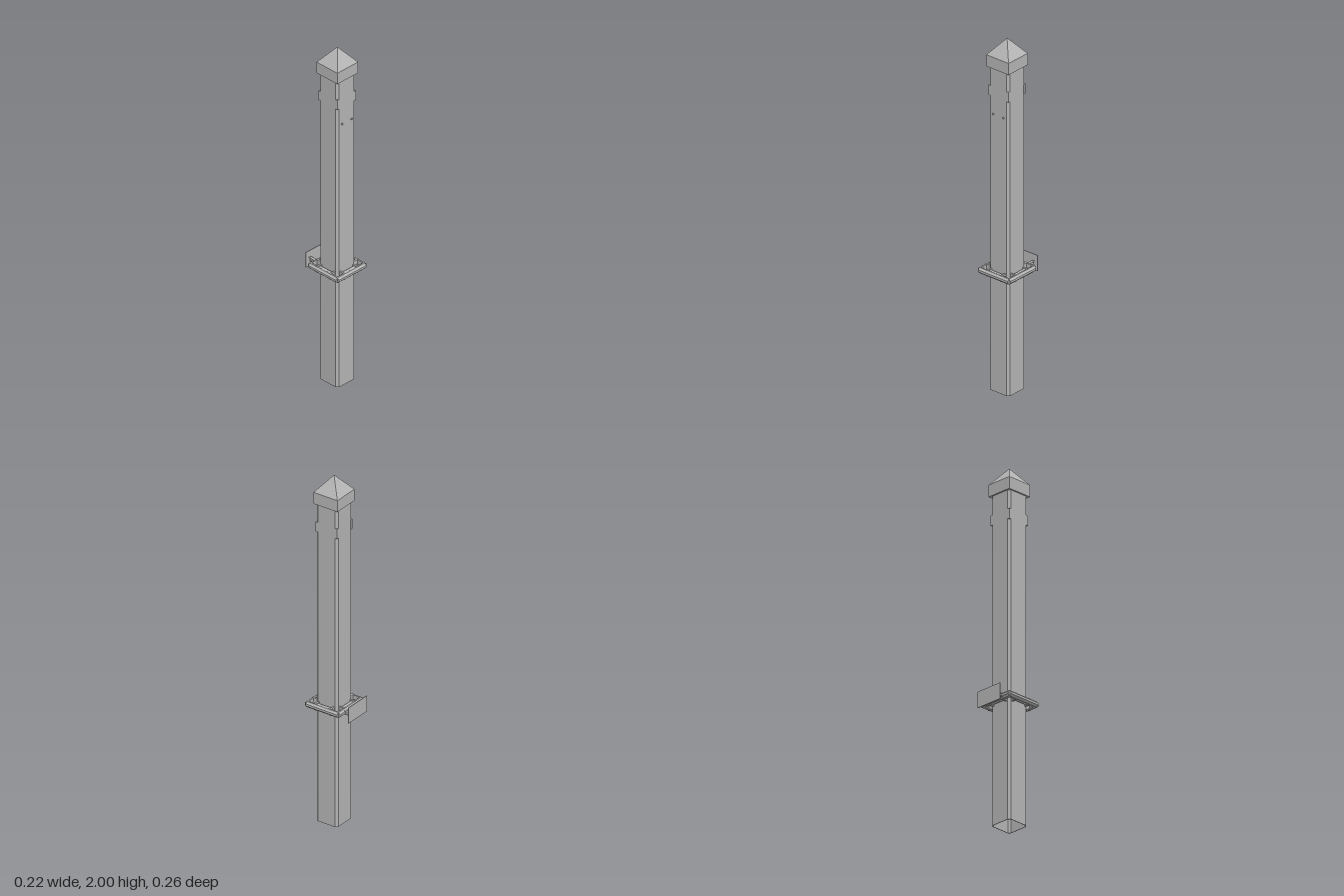
import * as THREE from 'three';

export function createModel() {
  const root = new THREE.Group();
  const pile = new THREE.Group(); // everything is centred on the pile axis
  pile.name = 'guidePile';
  pile.position.z = 0.018;
  root.add(pile);

  const grey = new THREE.MeshStandardMaterial({ color: 0xb4b4b4, flatShading: true });
  const smoothGrey = grey.clone();
  smoothGrey.flatShading = false;
  grey.name = smoothGrey.name = 'grey';

  const add = (parent, name, geo, x = 0, y = 0, z = 0, mat = grey) => {
    const m = new THREE.Mesh(geo, mat);
    m.name = name;
    m.position.set(x, y, z);
    parent.add(m);
    return m;
  };
  const box = (parent, name, w, h, d, x, y, z) =>
    add(parent, name, new THREE.BoxGeometry(w, h, d), x, y, z);

  // Square outline with cut corners
  const outline = (r, c) => [
    [r, c - r], [r, r - c], [r - c, r], [c - r, r],
    [-r, r - c], [-r, c - r], [c - r, -r], [r - c, -r],
  ].map(([x, y]) => new THREE.Vector2(x, y));
  const square = r => [[r, -r], [r, r], [-r, r], [-r, -r]].map(([x, y]) => new THREE.Vector2(x, y));

  // Hollow prism standing upright, base at y = 0
  const hollow = (outer, inner, height) => {
    const shape = new THREE.Shape(outer);
    shape.holes.push(new THREE.Path(inner));
    return new THREE.ExtrudeGeometry(shape, { depth: height, bevelEnabled: false }).rotateX(-Math.PI / 2);
  };

  // Post with chamfered corners, open at the bottom
  add(pile, 'post', hollow(outline(0.066, 0.012), outline(0.063, 0.011), 1.85));

  // Cap and its pyramid top
  box(pile, 'capBase', 0.149, 0.066, 0.149, 0, 1.875, 0);
  add(pile, 'capPyramid',
    new THREE.ConeGeometry(0.0745 * Math.SQRT2, 0.092, 4).rotateY(Math.PI / 4), 0, 1.954, 0);

  // Corner blocks below the cap
  for (const sx of [-1, 1]) for (const sz of [-1, 1])
    box(pile, 'cornerBlock', 0.014, 0.056, 0.014, sx * 0.06, 1.708, sz * 0.06);

  // Two small pegs on the front
  for (const sx of [-1, 1])
    add(pile, 'frontPeg', new THREE.CylinderGeometry(0.005, 0.005, 0.012, 10).rotateX(Math.PI / 2),
      sx * 0.034, 1.58, 0.066, smoothGrey);

  // Sliding collar: frame with an inner ledge
  const collar = new THREE.Group();
  collar.name = 'slidingCollar';
  collar.position.y = 0.68;
  pile.add(collar);
  add(collar, 'frame', hollow(square(0.1), square(0.092), 0.032), 0, -0.016, 0);
  add(collar, 'innerLedge', hollow(square(0.094), square(0.086), 0.008), 0, -0.016, 0);

  // Tapered edge strip, profile runs outward in +z
  const strip = new THREE.Shape([
    new THREE.Vector2(0, -0.016), new THREE.Vector2(0.01, -0.006),
    new THREE.Vector2(0.01, 0.006), new THREE.Vector2(0, 0.016),
  ]);
  const stripGeo = new THREE.ExtrudeGeometry(strip, { depth: 0.198, bevelEnabled: false })
    .translate(0, 0, -0.099).rotateY(-Math.PI / 2);

  // One strip, roller and pair of brackets on each side
  for (let i = 0; i < 4; i++) {
    const side = new THREE.Group();
    side.name = 'collarSide';
    side.rotation.y = i * Math.PI / 2;
    collar.add(side);
    add(side, 'edgeStrip', stripGeo, 0, 0, 0.1);
    add(side, 'roller', new THREE.CylinderGeometry(0.0135, 0.0135, 0.084, 20).rotateZ(Math.PI / 2),
      0, 0, 0.081, smoothGrey);
    for (const s of [-1, 1])
      box(side, 'rollerBracket', 0.01, 0.036, 0.032, s * 0.047, 0, 0.084);
  }

  // Two I-section arms carrying the back plate
  for (const s of [-1, 1]) {
    box(collar, 'armWeb', 0.006, 0.018, 0.04, s * 0.051, 0, -0.126);
    for (const t of [-1, 1])
      box(collar, 'armFlange', 0.016, 0.003, 0.04, s * 0.051, t * 0.008, -0.126);
    box(collar, 'armFoot', 0.022, 0.024, 0.003, s * 0.053, 0, -0.143);
  }
  box(collar, 'backPlate', 0.16, 0.09, 0.004, 0, 0.004, -0.146);

  return root;
}
